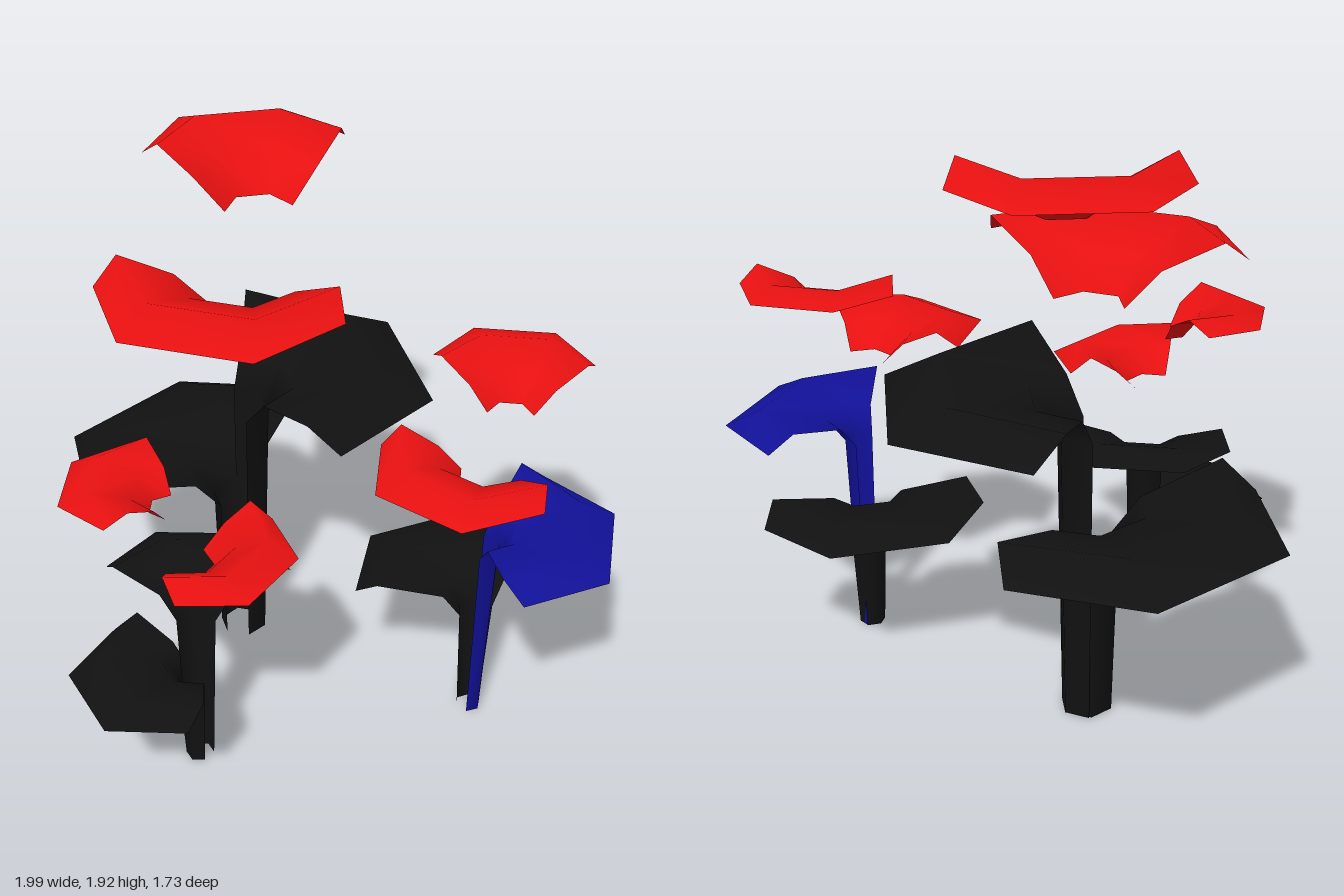
import * as THREE from 'three';

const paint = (name, color) => {
  const m = new THREE.MeshStandardMaterial({ color, side: THREE.DoubleSide });
  m.name = name;
  return m;
};

// Half of a six-sided funnel, open along its cut. Each ring has four points:
// two at the cut and two at the far side, given as [across, outward, height].
function halfFunnel({ at, out, w, d, e, r, rim, drop, neck, base }) {
  const [ox, oz] = out.map((v) => v / Math.hypot(...out));
  const f = r * 1.9;
  const rings = [];
  const ring = (endAcross, endOut, midAcross, midOut, yEnd, yMid = yEnd) =>
    rings.push([[-endAcross, endOut, yEnd], [-midAcross, midOut, yMid],
      [midAcross, midOut, yMid], [endAcross, endOut, yEnd]]);

  if (base) ring(base, 0, base / 2, base * 0.87, 0);            // foot of the trunk
  ring(r, 0, r / 2, r * 0.87, rim - neck);                      // neck
  ring(f * 0.97, f * 0.22, f * 0.5, f * 0.87, rim - neck * 0.43); // flare
  ring(w * 0.89, e * 0.56, w * 0.42, d * 0.72, rim, rim - 0.01);  // raised rim
  ring(w, e, w * 0.52, d, rim - drop);                          // drooping edge

  const pos = [], index = [];
  for (const points of rings)
    for (const [a, o, y] of points)
      pos.push(at[0] + ox * o - oz * a, y, at[1] + oz * o + ox * a);
  for (let j = 0; j < rings.length - 1; j++)
    for (let i = 0; i < 3; i++) {
      const p = j * 4 + i, q = p + 4;
      index.push(p, p + 1, q, p + 1, q + 1, q);
    }
  const g = new THREE.BufferGeometry();
  g.setAttribute('position', new THREE.Float32BufferAttribute(pos, 3));
  g.setIndex(index);
  g.computeVertexNormals();
  return g;
}

export function createModel() {
  const black = paint('black', 0x111111);
  const blue = paint('blue', 0x111199);
  const red = paint('red', 0xee1111);

  // Each tree: two standing half trunks and two floating half canopies
  const trees = {
    tallTree: [
      ['backTrunk', black, { at: [-0.39, -0.175], out: [0.544, -0.84], w: 0.53, d: 0.62, e: 0.225, r: 0.105, rim: 1.195, drop: 0.095, neck: 0.2, base: 0.085 }],
      ['sideTrunk', black, { at: [-0.39, -0.17], out: [-1, 0], w: 0.52, d: 0.61, e: 0.23, r: 0.1, rim: 0.81, drop: 0.095, neck: 0.2, base: 0.085 }],
      ['upperCanopy', red, { at: [-0.395, -0.285], out: [-0.83, -0.56], w: 0.35, d: 0.505, e: 0.235, r: 0.115, rim: 1.92, drop: 0.07, neck: 0.2 }],
      ['lowerCanopy', red, { at: [-0.38, -0.17], out: [0.456, 0.89], w: 0.43, d: 0.54, e: 0.225, r: 0.115, rim: 1.605, drop: 0.075, neck: 0.2 }],
    ],
    middleTree: [
      ['blueTrunk', blue, { at: [0.525, -0.415], out: [0.85, -0.525], w: 0.37, d: 0.43, e: 0.17, r: 0.065, rim: 0.86, drop: 0.07, neck: 0.14, base: 0.045 }],
      ['blackTrunk', black, { at: [0.525, -0.415], out: [-0.916, -0.4], w: 0.38, d: 0.45, e: 0.185, r: 0.065, rim: 0.58, drop: 0.07, neck: 0.14, base: 0.045 }],
      ['upperCanopy', red, { at: [0.545, -0.48], out: [-0.59, -0.81], w: 0.265, d: 0.375, e: 0.18, r: 0.075, rim: 1.38, drop: 0.045, neck: 0.14 }],
      ['lowerCanopy', red, { at: [0.52, -0.395], out: [0.1, 0.995], w: 0.31, d: 0.39, e: 0.146, r: 0.085, rim: 1.16, drop: 0.06, neck: 0.14 }],
    ],
    smallTree: [
      ['backTrunk', black, { at: [0, 0.43], out: [-0.675, -0.74], w: 0.31, d: 0.355, e: 0.16, r: 0.065, rim: 0.757, drop: 0.055, neck: 0.15, base: 0.045 }],
      ['frontTrunk', black, { at: [-0.005, 0.435], out: [-0.3, 0.95], w: 0.29, d: 0.4, e: 0.17, r: 0.065, rim: 0.49, drop: 0.07, neck: 0.13, base: 0.045 }],
      ['upperCanopy', red, { at: [-0.055, 0.475], out: [-0.77, 0.64], w: 0.23, d: 0.325, e: 0.165, r: 0.065, rim: 1.195, drop: 0.05, neck: 0.125 }],
      ['lowerCanopy', red, { at: [0.005, 0.46], out: [0.985, -0.175], w: 0.265, d: 0.335, e: 0.15, r: 0.085, rim: 1.01, drop: 0.065, neck: 0.14 }],
    ],
  };

  const model = new THREE.Group();
  model.name = 'funnelTrees';
  for (const [treeName, parts] of Object.entries(trees)) {
    const tree = new THREE.Group();
    tree.name = treeName;
    for (const [name, material, shape] of parts) {
      const mesh = new THREE.Mesh(halfFunnel(shape), material);
      mesh.name = name;
      tree.add(mesh);
    }
    model.add(tree);
  }
  return model;
}
